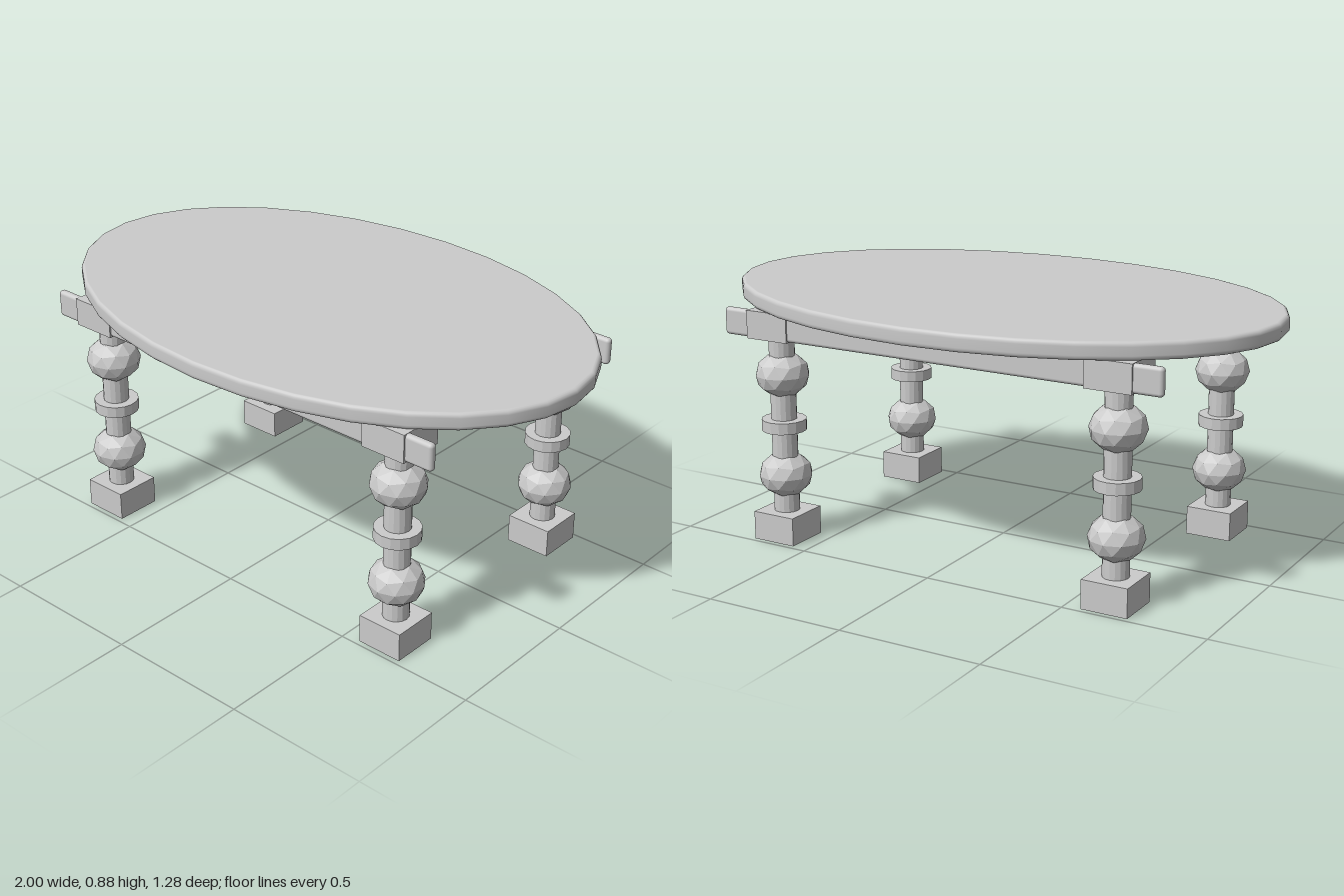
import * as THREE from 'three';
import { RoundedBoxGeometry } from 'three/addons/geometries/RoundedBoxGeometry.js';

const smooth = new THREE.MeshStandardMaterial({ color: 0xcccccc });
const faceted = new THREE.MeshStandardMaterial({ color: 0xcccccc, flatShading: true });

function add(parent, name, geometry, material, x, y, z) {
  const mesh = new THREE.Mesh(geometry, material);
  mesh.name = name;
  mesh.position.set(x, y, z);
  parent.add(mesh);
  return mesh;
}

// Oval top with a rounded rim
function tableTop() {
  const y0 = 0.815, y1 = 0.875, r = 0.016;
  const profile = [new THREE.Vector2(0, y0)];
  for (let i = 0; i <= 4; i++) {
    const a = -Math.PI / 2 + (i / 4) * (Math.PI / 2);
    profile.push(new THREE.Vector2(1 - r + r * Math.cos(a), y0 + r + r * Math.sin(a)));
  }
  for (let i = 0; i <= 4; i++) {
    const a = (i / 4) * (Math.PI / 2);
    profile.push(new THREE.Vector2(1 - r + r * Math.cos(a), y1 - r + r * Math.sin(a)));
  }
  profile.push(new THREE.Vector2(0, y1));
  return new THREE.LatheGeometry(profile, 32).scale(1, 1, 0.64);
}

// Turned leg: square foot, post with two beads and a collar, square head
function makeLeg() {
  const leg = new THREE.Group();
  const w = 0.163;
  add(leg, 'foot', new THREE.BoxGeometry(w, 0.1, w), faceted, 0, 0.05, 0);
  add(leg, 'post', new THREE.CylinderGeometry(0.0445, 0.0445, 0.64, 16), faceted, 0, 0.41, 0);
  add(leg, 'collar', new THREE.CylinderGeometry(0.0775, 0.0775, 0.04, 16), faceted, 0, 0.41, 0);
  // Faceted bead with one vertex straight up
  const bead = new THREE.IcosahedronGeometry(1, 1)
    .rotateZ(-Math.atan(2 / (1 + Math.sqrt(5))))
    .scale(0.094, 0.08, 0.094);
  add(leg, 'lowerBead', bead, faceted, 0, 0.23, 0);
  add(leg, 'upperBead', bead, faceted, 0, 0.587, 0);
  add(leg, 'head', new THREE.BoxGeometry(w, 0.097, w), faceted, 0, 0.7675, 0);
  return leg;
}

export function createModel() {
  const table = new THREE.Group();
  table.name = 'table';
  add(table, 'tableTop', tableTop(), smooth, 0, 0, 0);

  for (const [zName, sz] of [['front', 1], ['back', -1]]) {
    for (const [xName, sx] of [['Left', 1], ['Right', -1]]) {
      const leg = makeLeg();
      leg.name = `${zName}${xName}Leg`;
      leg.position.set(sx * 0.64, 0, sz * 0.401);
      table.add(leg);
    }
    // Long rail set into the leg heads
    add(table, `${zName}Rail`, new RoundedBoxGeometry(1.64, 0.094, 0.028, 3, 0.0125),
      smooth, 0, 0.768, sz * 0.463);
  }
  return table;
}
